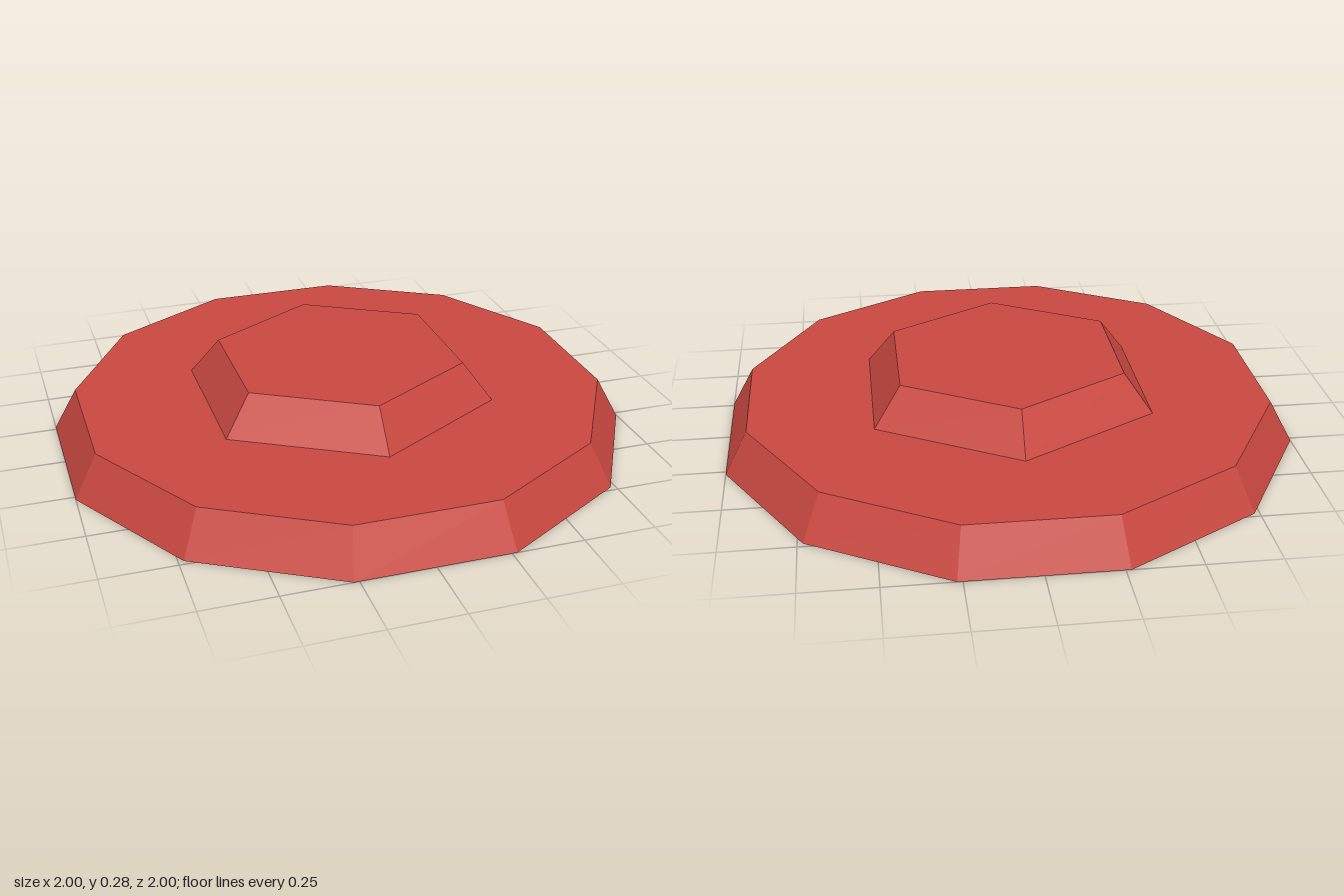
import * as THREE from 'three';

export function createModel() {
  const model = new THREE.Group();
  const red = new THREE.MeshStandardMaterial({ color: 0xc84840 });
  red.name = 'red';

  // Tapered prism standing on the given height
  function addTier(name, topRadius, bottomRadius, bottom, top, sides, turn) {
    const geometry = new THREE.CylinderGeometry(topRadius, bottomRadius, top - bottom, sides)
      .rotateY(turn)
      .translate(0, (bottom + top) / 2, 0)
      .toNonIndexed();
    geometry.computeVertexNormals(); // one normal per facet
    const mesh = new THREE.Mesh(geometry, red);
    mesh.name = name;
    model.add(mesh);
  }

  // Twelve-sided base, its flats facing the axes
  const flat = Math.cos(Math.PI / 12);
  addTier('base', 0.92 / flat, 1 / flat, 0, 0.15, 12, Math.PI / 12);

  // Six-sided raised cap, a corner facing front
  addTier('cap', 0.45, 0.56, 0.15, 0.285, 6, 0);

  return model;
}
